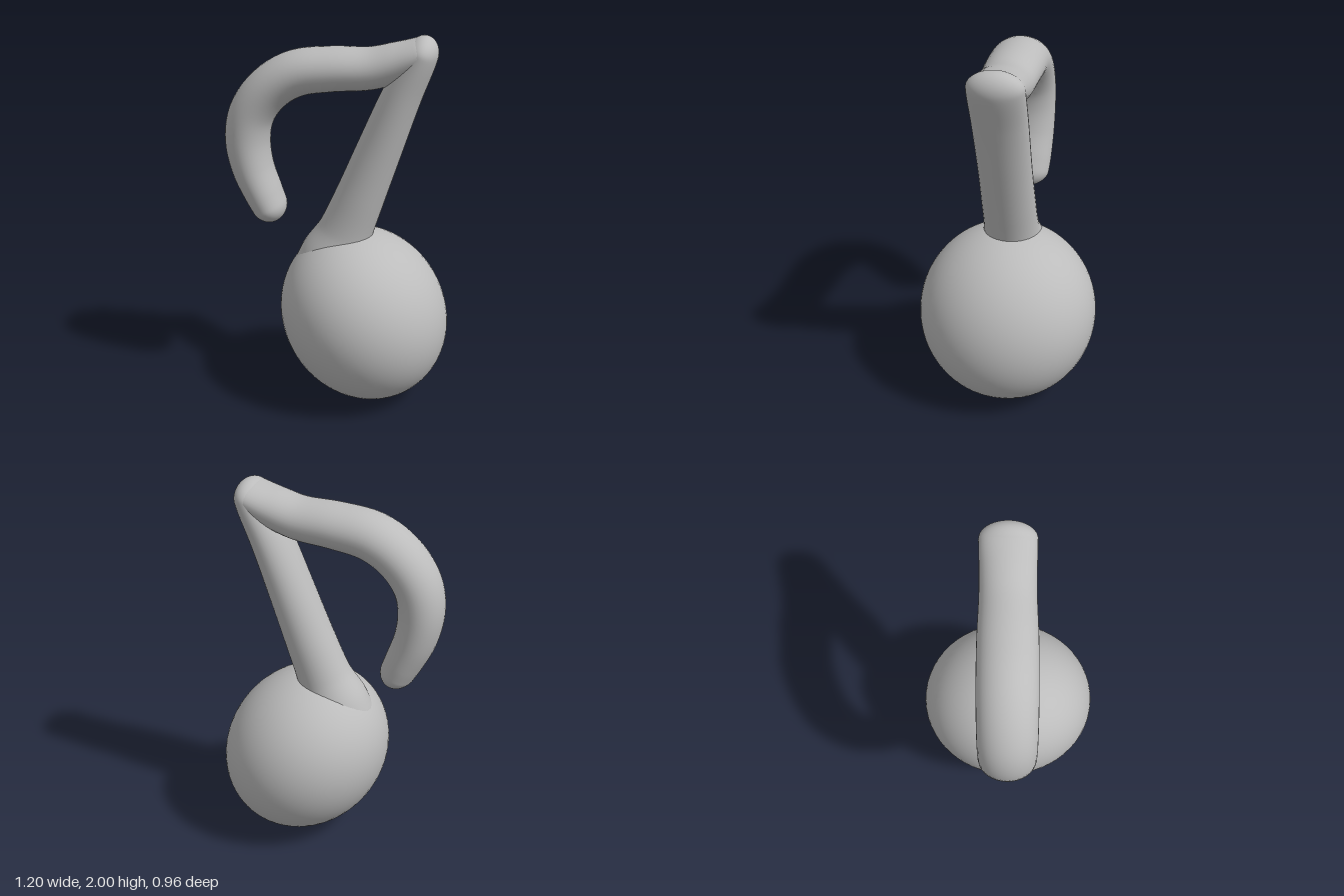
import * as THREE from 'three';

const SIDES = 36, STEPS = 90;

// Sweeps an oval section along a path in the xy plane and rounds both ends.
// Each station is [x, y, radius in the plane, radius in z].
function roundedSweep(stations, capLength) {
  const path = new THREE.CatmullRomCurve3(stations.map(([x, y]) => new THREE.Vector3(x, y, 0)));
  const radii = new THREE.CatmullRomCurve3(
    stations.map(([, , a, b]) => new THREE.Vector3(a, b, 0)), false, 'catmullrom', 0.5);

  // Samples crowd towards the ends, where the caps curve most.
  const ts = Array.from({ length: STEPS + 1 }, (_, i) => (1 - Math.cos(Math.PI * i / STEPS)) / 2);
  const centres = ts.map((t) => path.getPoint(t));
  const lengths = [0];
  for (let i = 1; i <= STEPS; i++) lengths.push(lengths[i - 1] + centres[i].distanceTo(centres[i - 1]));
  const total = lengths[STEPS];

  const positions = [], indices = [];
  for (let i = 0; i <= STEPS; i++) {
    const tangent = path.getTangent(ts[i]);
    const r = radii.getPoint(ts[i]);
    const fromEnd = Math.min(lengths[i], total - lengths[i]);
    const k = 1 - Math.min(1, fromEnd / capLength);
    const round = Math.sqrt(Math.max(0, 1 - k * k));
    for (let j = 0; j < SIDES; j++) {
      const angle = j / SIDES * Math.PI * 2;
      const across = Math.cos(angle) * r.x * round;
      positions.push(
        centres[i].x - tangent.y * across,
        centres[i].y + tangent.x * across,
        Math.sin(angle) * r.y * round);
      if (i < STEPS) {
        const next = (j + 1) % SIDES;
        const a = i * SIDES + j, b = i * SIDES + next;
        indices.push(a, b, a + SIDES, b, b + SIDES, a + SIDES);
      }
    }
  }
  const geometry = new THREE.BufferGeometry();
  geometry.setAttribute('position', new THREE.Float32BufferAttribute(positions, 3));
  geometry.setIndex(indices);
  geometry.computeVertexNormals();
  return geometry;
}

export function createModel() {
  const group = new THREE.Group();
  group.name = 'musicNote';
  const grey = new THREE.MeshStandardMaterial({ color: 0xbcbcbc });
  grey.name = 'grey';

  const add = (name, geometry) => {
    const mesh = new THREE.Mesh(geometry, grey);
    mesh.name = name;
    group.add(mesh);
    return mesh;
  };

  // Note head: a slightly tilted ellipsoid
  const head = add('noteHead', new THREE.SphereGeometry(1, 56, 40));
  head.scale.set(0.435, 0.49, 0.48);
  head.rotation.z = THREE.MathUtils.degToRad(35);
  head.position.set(0.145, 0.472, 0);

  // Stem: leans right, flares into the head and narrows to a rounded tip
  add('stem', roundedSweep([
    [-0.07, 0.64, 0.2, 0.2],
    [-0.015, 0.8, 0.185, 0.18],
    [0.04, 0.94, 0.147, 0.148],
    [0.125, 1.16, 0.13, 0.141],
    [0.215, 1.4, 0.118, 0.138],
    [0.33, 1.7, 0.102, 0.14],
    [0.42, 1.9, 0.085, 0.141],
    [0.45, 2.0, 0.075, 0.135],
  ], 0.09));

  // Flag: runs left from the stem tip, then hooks down
  add('flag', roundedSweep([
    [0.5, 1.95, 0.07, 0.135],
    [0.4, 1.905, 0.085, 0.14],
    [0.3, 1.865, 0.1, 0.138],
    [0.17, 1.828, 0.108, 0.138],
    [-0.03, 1.815, 0.115, 0.145],
    [-0.22, 1.785, 0.12, 0.147],
    [-0.36, 1.7, 0.12, 0.147],
    [-0.455, 1.57, 0.12, 0.146],
    [-0.483, 1.43, 0.118, 0.145],
    [-0.46, 1.27, 0.11, 0.143],
    [-0.405, 1.13, 0.1, 0.138],
    [-0.37, 1.05, 0.092, 0.13],
    [-0.345, 0.972, 0.085, 0.12],
  ], 0.09));

  return group;
}
